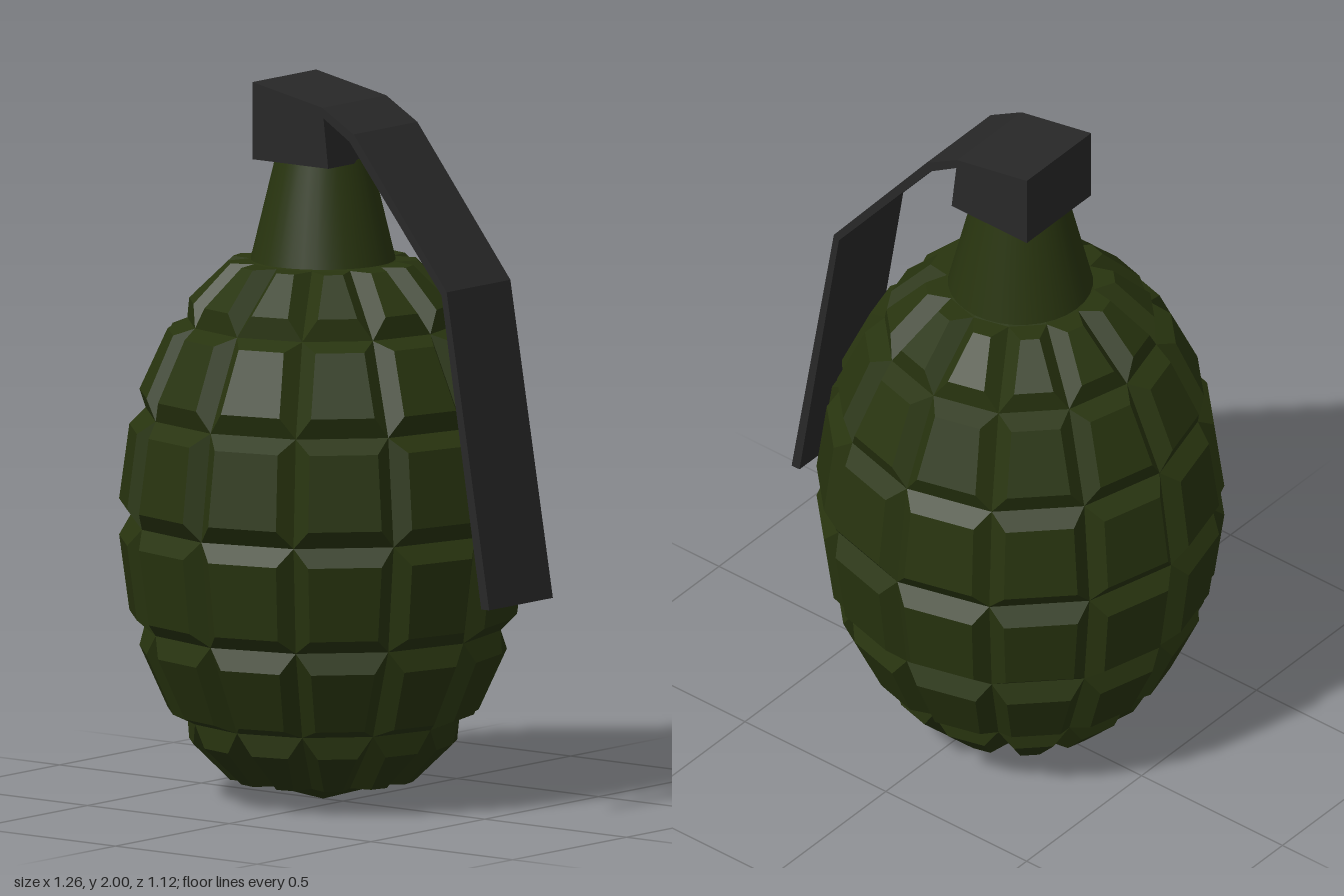
import * as THREE from 'three';

const AXIS_X = -0.07; // the body sits left of centre, the lever balances it
const HALF_WIDTH = 0.14;

// Faceted egg: a 12 x 6 grid of raised, bevelled blocks with V grooves between them
function bodyGeometry() {
  const sides = 12, centreY = 0.78, radius = 0.535, height = 0.78;
  const insetU = 0.035, insetV = 0.045, raise = 0.043;
  const positions = [];
  const tri = (...pts) => pts.forEach((p) => positions.push(p.x, p.y, p.z));
  const quad = (a, b, c, d) => { tri(a, b, c); tri(a, c, d); };
  const point = (row, col) => {
    const lat = row * Math.PI / 8, lon = col * 2 * Math.PI / sides;
    const r = radius * Math.cos(lat);
    return new THREE.Vector3(r * Math.sin(lon), centreY + height * Math.sin(lat), r * Math.cos(lon));
  };
  const dir = (a, b) => b.clone().sub(a).normalize();

  for (let col = 0; col < sides; col++) {
    for (let row = -3; row < 3; row++) {
      const base = [point(row, col), point(row, col + 1), point(row + 1, col + 1), point(row + 1, col)];
      const normal = dir(base[0], base[1]).cross(dir(base[0], base[3])).normalize();
      const top = base.map((p, i) => {
        const across = base[[1, 0, 3, 2][i]], along = base[[3, 2, 1, 0][i]];
        return p.clone()
          .addScaledVector(dir(p, across), insetU)
          .addScaledVector(dir(p, along), insetV)
          .addScaledVector(normal, raise);
      });
      quad(...top);
      for (let i = 0; i < 4; i++) {
        const j = (i + 1) % 4;
        quad(base[i], base[j], top[j], top[i]);
      }
    }
    // Shallow cones closing the bottom and top
    tri(point(-4, col), point(-3, col + 1), point(-3, col));
    tri(point(4, col), point(3, col), point(3, col + 1));
  }
  const geometry = new THREE.BufferGeometry();
  geometry.setAttribute('position', new THREE.Float32BufferAttribute(positions, 3));
  geometry.computeVertexNormals();
  return geometry;
}

// Side profile in x/y swept across the width
function slab(points) {
  const shape = new THREE.Shape(points.map(([x, y]) => new THREE.Vector2(x, y)));
  const geometry = new THREE.ExtrudeGeometry(shape, { depth: HALF_WIDTH * 2, bevelEnabled: false });
  return geometry.translate(0, 0, -HALF_WIDTH);
}

export function createModel() {
  const olive = new THREE.MeshStandardMaterial({ color: 0x28340f });
  olive.name = 'olive green';
  const black = new THREE.MeshStandardMaterial({ color: 0x282828 });
  black.name = 'dark metal';

  const model = new THREE.Group();
  model.name = 'grenade';
  const add = (name, geometry, material, x = 0, y = 0) => {
    const mesh = new THREE.Mesh(geometry, material);
    mesh.name = name;
    mesh.position.set(x, y, 0);
    model.add(mesh);
  };

  add('body', bodyGeometry(), olive, AXIS_X);

  // Smooth tapered neck
  add('neck', new THREE.CylinderGeometry(0.13, 0.2, 0.29, 32), olive, AXIS_X, 1.65);

  // Fuse cap with a sloping top
  add('fuseCap', slab([[-0.207, 1.785], [0.06, 1.785], [0.04, 1.953], [-0.207, 2]]), black);

  // Bent safety lever
  add('lever', slab([
    [0.04, 1.926], [0.135, 1.868], [0.46, 1.472], [0.6, 0.612],
    [0.628, 0.612], [0.478, 1.483], [0.15, 1.89], [0.04, 1.953],
  ]), black);

  return model;
}
